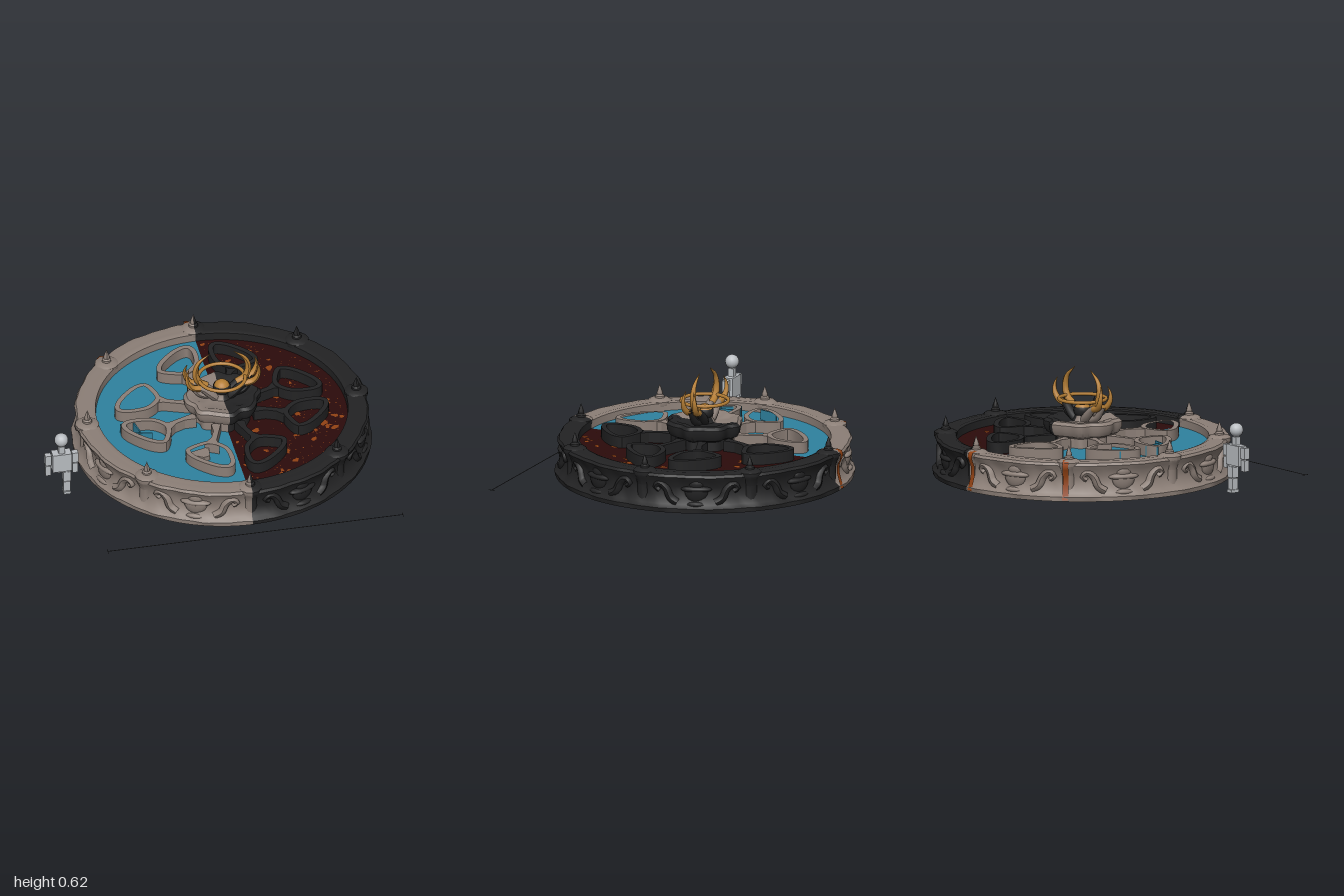
import * as THREE from 'three';
import { mergeGeometries, toCreasedNormals } from 'three/addons/utils/BufferGeometryUtils.js';

const mat = (name, color, side = THREE.FrontSide) => {
  const m = new THREE.MeshStandardMaterial({ color, side });
  m.name = name;
  return m;
};
const V2 = (x, y) => new THREE.Vector2(x, y);
const V3 = (p) => new THREE.Vector3(...p);

export function createModel() {
  const stone = mat('pale stone', 0x8c7f77), dark = mat('black stone', 0x232324, THREE.DoubleSide);
  const water = mat('water', 0x2f829f), lava = mat('dark lava', 0x2b0b0b);
  const ember = mat('glowing ember', 0x924214), gold = mat('gold', 0xb57e35);
  const grey = mat('figure grey', 0xb9bdc1), ink = mat('ruler', 0x333333);
  const FLOOR = 0.18;

  let seed = 7;
  const rnd = () => (seed = (seed * 16807) % 2147483647) / 2147483647;

  const model = new THREE.Group();
  const fountain = new THREE.Group();
  fountain.name = 'fountain';
  fountain.position.set(0.12, 0, -0.055);
  model.add(fountain);

  const add = (parent, name, geo, material, x = 0, y = 0, z = 0) => {
    const m = new THREE.Mesh(geo, material);
    m.name = name;
    m.position.set(x, y, z);
    parent.add(m);
    return m;
  };

  // half lathe: side +1 covers x > 0, side -1 covers x < 0; wobble scales the radius
  const halfLathe = (profile, side, segments, wobble) => {
    const g = new THREE.LatheGeometry(profile.map((p) => V2(...p)), segments, side > 0 ? 0 : Math.PI, Math.PI);
    if (wobble) {
      const p = g.attributes.position;
      for (let i = 0; i < p.count; i++) {
        const x = p.getX(i), z = p.getZ(i), k = wobble(Math.atan2(x, z), p.getY(i), Math.hypot(x, z));
        p.setXYZ(i, x * k, p.getY(i), z * k);
      }
    }
    return toCreasedNormals(g, 0.6);
  };
  const sideMat = (s) => (s > 0 ? dark : stone);

  // basin, pools and scalloped hub, each in two halves
  const basin = [[0, 0.004], [0.87, 0.004], [0.873, 0.03], [0.85, 0.05], [0.828, 0.1], [0.828, 0.15], [0.845, 0.19],
    [0.855, 0.212], [0.845, 0.227], [0.8, 0.233], [0.77, 0.229], [0.755, 0.232], [0.735, 0.225], [0.732, 0.17]];
  const hub = [[0.175, 0.17], [0.17, 0.235], [0.2, 0.25], [0.216, 0.28], [0.218, 0.315], [0.2, 0.332],
    [0.165, 0.332], [0.14, 0.318], [0.06, 0.315], [0.045, 0.34], [0.04, 0.37], [0, 0.372]];
  for (const s of [-1, 1]) {
    add(fountain, 'basin wall', halfLathe(basin, s, 64, (a, y, r) =>
      r > 0.81 && y > 0.01 ? 1 + 0.004 * Math.sin(a * 16) + 0.003 * Math.sin(a * 37 + y * 30) : 1), sideMat(s));
    add(fountain, 'hub', halfLathe(hub, s, 48, (a, y, r) =>
      r > 0.13 ? 1 + 0.05 * Math.cos(a * 8) + 0.02 * Math.sin(a * 13) : 1), sideMat(s));
    const pool = new THREE.CircleGeometry(0.74, 48, s > 0 ? -Math.PI / 2 : Math.PI / 2, Math.PI).rotateX(-Math.PI / 2);
    add(fountain, s > 0 ? 'lava pool' : 'water pool', pool, s > 0 ? lava : water, 0, FLOOR, 0);
  }

  // posts with spikes around the rim
  const post = [[0.055, 0.01], [0.044, 0.06], [0.044, 0.15], [0.058, 0.19], [0.07, 0.21], [0.07, 0.23], [0.055, 0.24],
    [0.028, 0.245], [0.027, 0.256], [0.017, 0.264], [0.018, 0.275], [0, 0.325]];
  for (let i = 0; i < 8; i++) {
    const a = (i * Math.PI) / 4, onSplit = i % 4 === 0;
    for (const s of [-1, 1]) {
      add(fountain, 'spiked post', halfLathe(post, s, 6), onSplit ? sideMat(s) : sideMat(Math.sin(a)),
        Math.sin(a) * 0.8, 0, Math.cos(a) * 0.8);
    }
  }

  // tube that tapers from r0 to r1
  const taper = (points, r0, r1, n = 18, sides = 8) => {
    const curve = new THREE.CatmullRomCurve3(points.map(V3));
    const g = new THREE.TubeGeometry(curve, n, 1, sides);
    const p = g.attributes.position, v = new THREE.Vector3();
    for (let i = 0; i < p.count; i++) {
      const t = Math.floor(i / (sides + 1)) / n, c = curve.getPointAt(t);
      v.fromBufferAttribute(p, i).sub(c).multiplyScalar(r0 + (r1 - r0) * t * t).add(c);
      p.setXYZ(i, v.x, v.y, v.z);
    }
    g.computeVertexNormals();
    return g;
  };

  // carved relief panels between the posts
  const cup = new THREE.SphereGeometry(0.07, 14, 8, 0, Math.PI * 2, Math.PI / 2, Math.PI / 2).scale(1, 1.1, 0.4).translate(0, 0.135, 0.825);
  const brim = new THREE.SphereGeometry(0.092, 14, 8).scale(1, 0.22, 0.35).translate(0, 0.14, 0.826);
  const foot = new THREE.SphereGeometry(0.06, 12, 6).scale(1, 0.3, 0.45).translate(0, 0.05, 0.835);
  const crest = new THREE.SphereGeometry(0.045, 12, 8).scale(1, 0.8, 0.5).translate(0, 0.17, 0.826);
  const scrolls = [-1, 1].map((s) => taper([[s * 0.11, 0.06, 0.825], [s * 0.15, 0.085, 0.818], [s * 0.175, 0.14, 0.81],
    [s * 0.215, 0.17, 0.803], [s * 0.24, 0.145, 0.795], [s * 0.215, 0.125, 0.8]], 0.027, 0.014, 14, 6));
  const relief = mergeGeometries([cup, brim, foot, crest, ...scrolls]);
  for (let i = 0; i < 8; i++) {
    const a = ((i + 0.5) * Math.PI) / 4;
    add(fountain, 'carved relief', relief, sideMat(Math.sin(a))).rotation.y = a;
  }

  // glowing streaks running down the back wall
  const streak = new THREE.LatheGeometry([V2(0.877, 0.012), V2(0.864, 0.05), V2(0.85, 0.1), V2(0.85, 0.15),
    V2(0.868, 0.19), V2(0.873, 0.212), V2(0.865, 0.235), V2(0.835, 0.243)], 3, -0.02, 0.04);
  for (const a of [Math.PI + 0.035, Math.PI * 1.245]) add(fountain, 'glowing streak', streak, ember).rotation.y = a;

  // raised loops with arms reaching from the hub
  const outline = [[0.055, 0.57], [0.08, 0.6], [0.13, 0.59], [0.21, 0.53], [0.275, 0.45], [0.285, 0.4], [0.26, 0.38],
    [0.16, 0.35], [0.12, 0.36], [0.065, 0.42], [0.05, 0.48]];
  const extrude = (shape, h) => new THREE.ExtrudeGeometry(shape, { depth: h, bevelEnabled: false, curveSegments: 4 }).rotateX(-Math.PI / 2);
  const wallLoop = (place) => {
    const curve = new THREE.CatmullRomCurve3(outline.map(([x, z]) => new THREE.Vector3(...place(x, z), 0)), true);
    const ring = (off) => Array.from({ length: 48 }, (_, i) => {
      const p = curve.getPointAt(i / 48), t = curve.getTangentAt(i / 48);
      return V2(p.x - t.y * off, p.y + t.x * off);
    });
    const out = THREE.ShapeUtils.area(ring(0)) > 0 ? -0.015 : 0.015;
    const shape = new THREE.Shape(ring(out));
    shape.holes.push(new THREE.Path(ring(-out)));
    return extrude(shape, 0.077);
  };
  for (const sx of [-1, 1]) for (const sz of [-1, 1]) for (const swap of [false, true]) {
    const place = (x, z) => (swap ? [sx * z, -sz * x] : [sx * x, -sz * z]);
    const arm = new THREE.Shape([[0.04, 0.17], [0.1, 0.17], [0.1, 0.24], [0.125, 0.3], [0.175, 0.345],
      [0.095, 0.385], [0.1, 0.33], [0.07, 0.25]].map((p) => V2(...place(...p))));
    add(fountain, 'raised loop', toCreasedNormals(wallLoop(place), 0.6), sideMat(sx), 0, 0.17, 0);
    add(fountain, 'loop arm', extrude(arm, 0.073), sideMat(sx), 0, 0.17, 0);
  }
  // broken slab, and standing sheets of water beside the loops
  const slab = new THREE.Shape([V2(-0.29, -0.38), V2(-0.15, -0.34), V2(-0.16, -0.43), V2(-0.2, -0.44)]);
  add(fountain, 'broken slab', extrude(slab, 0.03), stone, 0, FLOOR, 0);
  const sheets = [[-0.585, -0.13, 0.12, 1.3], [-0.57, 0.13, 0.17, -1.0], [-0.5, 0.17, 0.1, -0.2], [-0.53, 0.09, 0.12, -1.35]];
  for (const [x, z, length, turn] of sheets) {
    add(fountain, 'water sheet', new THREE.BoxGeometry(length, 0.06, 0.008), water, x, FLOOR + 0.03, z).rotation.y = turn;
  }

  // scattered embers on the lava, in patches and fine specks
  const flecks = [];
  for (let i = 0; i < 330; i++) {
    const patch = i < 48;
    const a = (rnd() - 0.5) * 3.05, d = 0.2 + 0.51 * Math.sqrt(rnd());
    const size = patch ? 0.012 + 0.02 * rnd() : 0.003 + 0.004 * rnd();
    const x = Math.max(0.03, Math.cos(a) * d), z = Math.sin(a) * d, n = patch ? 10 : 4, lean = rnd() * 3;
    const pts = Array.from({ length: n }, (_, k) => {
      const t = (k / n) * Math.PI * 2, r = size * (0.45 + 0.75 * rnd());
      return V2(Math.cos(t) * r, Math.sin(t) * r * 0.7).rotateAround(V2(0, 0), lean);
    });
    flecks.push(new THREE.ShapeGeometry(new THREE.Shape(pts)).rotateX(-Math.PI / 2).translate(x, FLOOR + 0.003, z));
  }
  add(fountain, 'embers', mergeGeometries(flecks), ember);

  // crown: stone stems, gold horns, ring, and an orb in a dark cup
  for (const s of [-1, 1]) {
    for (const z of [-0.025, 0.025]) {
      add(fountain, 'crown stem', taper([[s * 0.03, 0.31, z * 0.6], [s * 0.07, 0.35, z], [s * 0.12, 0.395, z], [s * 0.165, 0.41, z]], 0.028, 0.016), sideMat(s));
      add(fountain, 'small horn', taper([[s * 0.13, 0.4, z], [s * 0.18, 0.415, z * 1.2], [s * 0.207, 0.455, z * 1.5],
        [s * 0.213, 0.5, z * 1.4], [s * 0.2, 0.545, z]], 0.02, 0.001), gold);
    }
    add(fountain, 'outer stem', taper([[s * 0.08, 0.325, 0], [s * 0.13, 0.345, 0], [s * 0.165, 0.385, 0], [s * 0.19, 0.42, 0]], 0.022, 0.014), sideMat(s));
    add(fountain, 'great horn', taper([[s * 0.09, 0.4, 0], [s * 0.135, 0.43, 0], [s * 0.157, 0.49, 0],
      [s * 0.14, 0.56, 0], [s * 0.07, 0.622, 0]], 0.022, 0.001, 24), gold);
  }
  add(fountain, 'gold ring', new THREE.TorusGeometry(0.137, 0.011, 8, 40).rotateX(Math.PI / 2), gold, 0, 0.443, 0);
  add(fountain, 'gold orb', new THREE.SphereGeometry(0.048, 20, 14), gold, 0, 0.375, 0);
  const bowl = new THREE.SphereGeometry(0.052, 20, 10, 0, Math.PI * 2, 1.15, Math.PI - 1.15);
  add(fountain, 'orb cup', bowl, dark, 0, 0.375, 0);

  // standing figure for size
  const figure = new THREE.Group();
  figure.name = 'scale figure';
  figure.position.set(-0.902, 0, 0.265);
  model.add(figure);
  const box = (name, w, h, d, x, y) => add(figure, name, new THREE.BoxGeometry(w, h, d), grey, x, y, 0);
  add(figure, 'head', new THREE.SphereGeometry(0.041, 16, 12), grey, 0, 0.375, 0);
  box('neck', 0.035, 0.05, 0.035, 0, 0.31);
  box('torso', 0.112, 0.12, 0.06, 0, 0.227);
  box('hip', 0.07, 0.012, 0.045, 0.015, 0.163);
  for (const s of [-1, 1]) {
    box('upper arm', 0.036, 0.066, 0.036, s * 0.08, 0.247);
    box('forearm', 0.032, 0.066, 0.032, s * 0.08, 0.174);
  }
  box('thigh', 0.044, 0.066, 0.044, 0.03, 0.122);
  box('shin', 0.04, 0.065, 0.04, 0.03, 0.052);
  box('shoe', 0.042, 0.018, 0.055, 0.03, 0.009);

  // ruler line in front
  add(model, 'ruler line', new THREE.BoxGeometry(1.755, 0.003, 0.003), ink, 0.118, 0.004, 0.9);
  for (const x of [-0.76, 0.995]) add(model, 'ruler end', new THREE.BoxGeometry(0.003, 0.003, 0.04), ink, x, 0.004, 0.9);

  return model;
}
